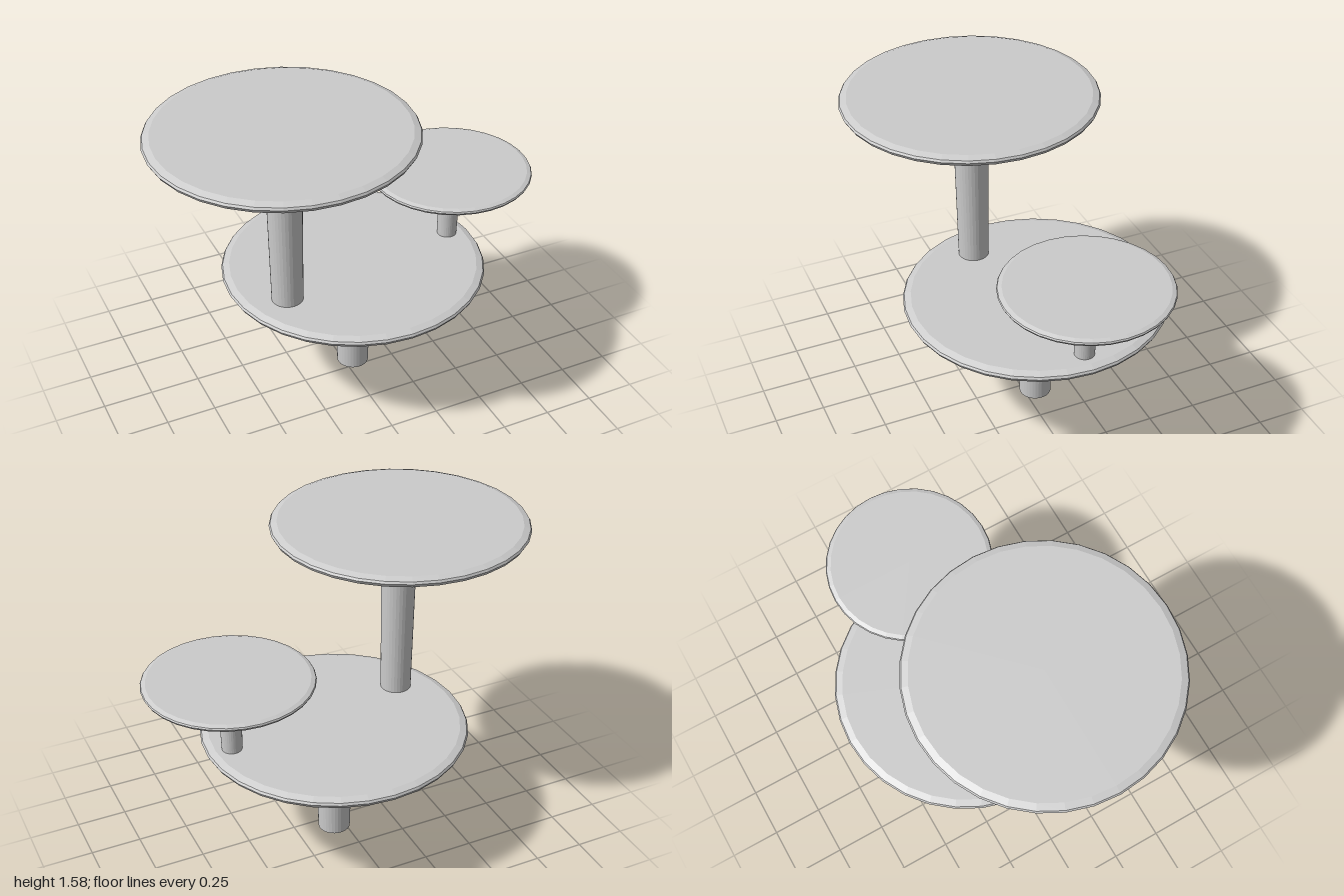
import * as THREE from 'three';

const SIDES = 32;
const material = new THREE.MeshStandardMaterial({ color: 0xcccccc, flatShading: true });

// Flared cap outline, as [radius, depth below the top] in units of the rim radius
const CAP = [
  [0.137, -0.4], [0.15, -0.375], [0.185, -0.335], [0.25, -0.29], [0.38, -0.238],
  [0.54, -0.19], [0.7, -0.147], [0.85, -0.112], [0.94, -0.086], [0.985, -0.062],
  [1, -0.035], [0.99, -0.018], [0.94, 0], [0, 0],
];

// A round platform: a slightly tapered stem that opens into a wide flat cap
function platform(name, x, z, base, top, radius, footRadius) {
  const group = new THREE.Group();
  group.name = name;
  group.position.set(x, 0, z);

  const neck = top - 0.4 * radius;
  const stem = new THREE.Mesh(
    new THREE.CylinderGeometry(0.137 * radius, footRadius, neck - base, SIDES), material);
  stem.name = 'stem';
  stem.position.y = (base + neck) / 2;

  const outline = CAP.map(([r, d]) => new THREE.Vector2(r * radius, d * radius));
  const cap = new THREE.Mesh(new THREE.LatheGeometry(outline, SIDES), material);
  cap.name = 'cap';
  cap.position.y = top;

  group.add(stem, cap);
  return group;
}

export function createModel() {
  const model = new THREE.Group();
  model.name = 'tieredPlatforms';
  model.add(
    platform('lowerPlatform', 0.05, -0.06, 0, 0.645, 0.66, 0.081),
    platform('upperPlatform', -0.375, 0.1, 0.64, 1.58, 0.625, 0.077),
    platform('smallPlatform', 0.59, -0.065, 0.64, 1.04, 0.408, 0.049),
  );
  return model;
}
